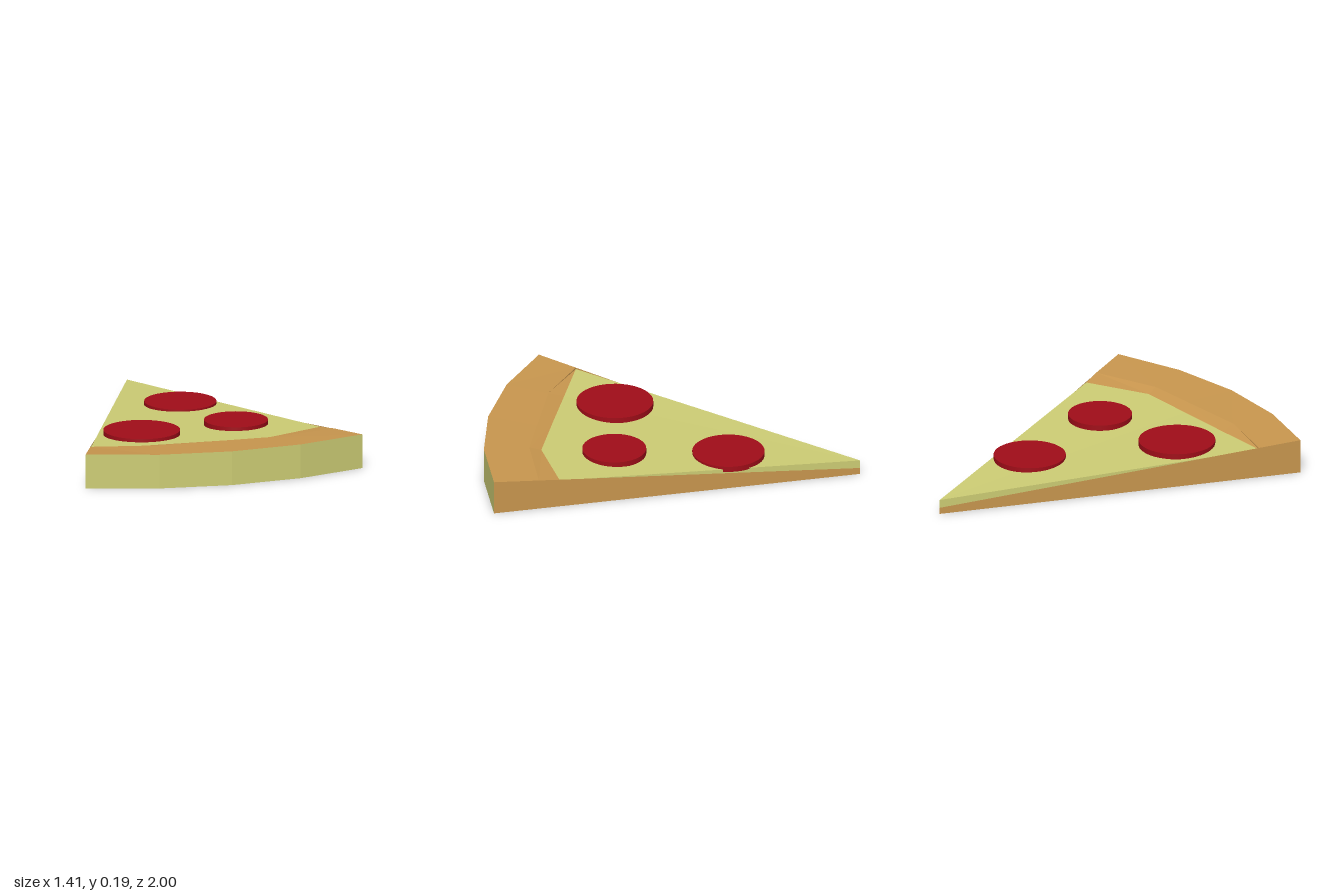
import * as THREE from 'three';

const TIP = [-0.707, -1], RADIUS = 2, STEPS = 4;

const material = (color) => new THREE.MeshStandardMaterial({ color, flatShading: true, side: THREE.DoubleSide });
const crustMat = material(0xc8964e);
const cheeseMat = material(0xcccc74);
const meatMat = new THREE.MeshStandardMaterial({ color: 0xa00d18 });

const reach = (x, z) => Math.hypot(x - TIP[0], z - TIP[1]);
const cheeseY = (x, z) => 0.08 + 0.045 * reach(x, z);

// Points along the outer arc at a given height
function arc(y) {
  return Array.from({ length: STEPS + 1 }, (_, i) => {
    const a = (i / STEPS) * Math.PI / 4;
    return [TIP[0] + RADIUS * Math.sin(a), y, TIP[1] + RADIUS * Math.cos(a)];
  });
}

// Surface strip joining two rows of points
function strip(a, b) {
  const out = [];
  for (let i = 0; i < a.length - 1; i++) out.push(a[i], b[i], b[i + 1], a[i], b[i + 1], a[i + 1]);
  return out;
}

// Triangles from one point to a row
function fan(p, row) {
  const out = [];
  for (let i = 0; i < row.length - 1; i++) out.push(p, row[i], row[i + 1]);
  return out;
}

function addSurface(group, name, points, mat) {
  const g = new THREE.BufferGeometry();
  g.setAttribute('position', new THREE.Float32BufferAttribute(points.flat(), 3));
  g.computeVertexNormals();
  const mesh = new THREE.Mesh(g, mat);
  mesh.name = name;
  group.add(mesh);
}

export function createModel() {
  const slice = new THREE.Group();
  slice.name = 'pizzaSlice';

  const low = arc(0), high = arc(0.185);
  const tipLow = [TIP[0], 0, TIP[1]], tipMid = [TIP[0], 0.035, TIP[1]];

  // Dough: underside and the two cut sides
  addSurface(slice, 'doughUnderside', fan(tipLow, [...low].reverse()), crustMat);
  addSurface(slice, 'leftCut', strip([tipMid, high[STEPS]], [low[STEPS], low[STEPS]].map((p, i) => i ? p : tipLow)).reverse(), crustMat);
  addSurface(slice, 'rightCut', strip([tipMid, high[0]], [tipLow, low[0]]), crustMat);

  // Outer edge wall
  addSurface(slice, 'outerEdge', strip(high, low), cheeseMat);

  // Crust rim: a ramp up from the cheese, then a broad top
  const inner = [[-0.707, 0.77], [-0.41, 0.66], [-0.1, 0.545], [0.2, 0.43], [0.453, 0.16]]
    .map(([x, z]) => [x, cheeseY(x, z), z]);
  const ridge = [[-0.707, 0.168, 0.77], [-0.36, 0.175, 0.73], [0, 0.175, 0.58],
    [0.24, 0.175, 0.48], [0.535, 0.168, 0.24]];
  addSurface(slice, 'crustRamp', strip(inner, ridge), crustMat);
  addSurface(slice, 'crustTop', strip(ridge, high), crustMat);

  // Cheese layer with its thin sides
  const tipTop = [TIP[0], 0.08, TIP[1]];
  addSurface(slice, 'cheeseTop', fan(tipTop, inner), cheeseMat);
  const sunk = (p, s) => [p[0] + 0.003 * s, p[1], p[2]];
  const side = (p, s) => {
    const base = [p[0], Math.min(p[1], 0.035 + 0.075 * reach(p[0], p[2])) - 0.002, p[2]];
    return strip([tipTop, sunk(p, s)], [tipMid, sunk(base, s)]);
  };
  addSurface(slice, 'cheeseRightSide', side(inner[0], 1), cheeseMat);
  addSurface(slice, 'cheeseLeftSide', side(inner[4], -1).reverse(), cheeseMat);

  // Sausage rounds: x, z, radius, top height
  [[-0.355, -0.395, 0.192, 0.13], [-0.003, 0.1, 0.17, 0.166], [-0.475, 0.385, 0.204, 0.17]]
    .forEach(([x, z, r, top], i) => {
      const h = 0.03;
      const mesh = new THREE.Mesh(new THREE.CylinderGeometry(r, r, h, 48), meatMat);
      mesh.position.set(x, top - h / 2, z);
      mesh.name = `sausageRound${i + 1}`;
      slice.add(mesh);
    });

  return slice;
}
